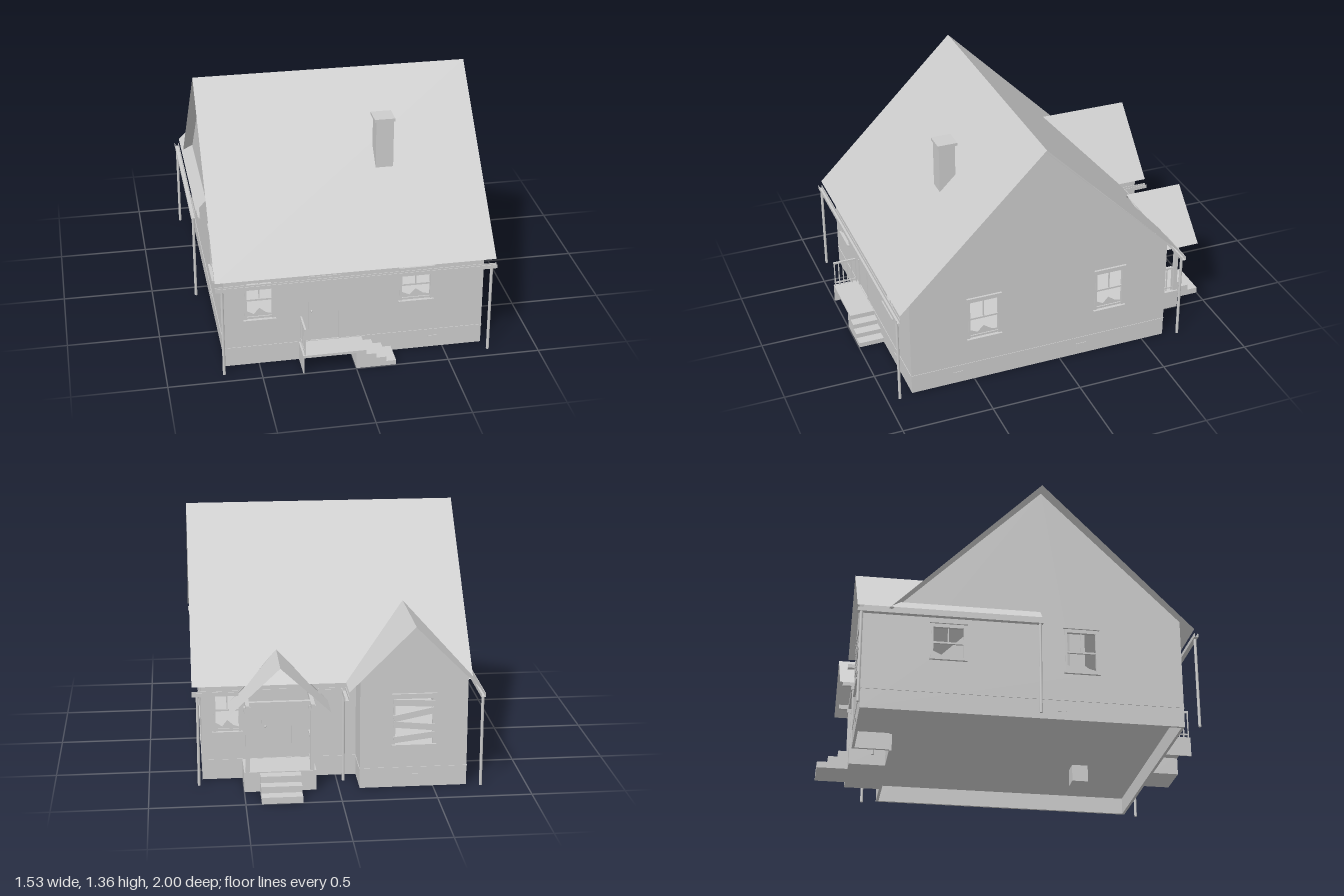
import * as THREE from 'three';

const plaster = new THREE.MeshStandardMaterial({ color: 0xcccccc, side: THREE.DoubleSide });
plaster.name = 'pale grey';

function add(parent, name, geo) {
  const m = new THREE.Mesh(geo, plaster);
  m.name = name;
  parent.add(m);
  return m;
}

// Box given by its extents on each axis
function box(parent, name, x0, x1, y0, y1, z0, z1) {
  const m = add(parent, name, new THREE.BoxGeometry(x1 - x0, y1 - y0, z1 - z0));
  m.position.set((x0 + x1) / 2, (y0 + y1) / 2, (z0 + z1) / 2);
  return m;
}

// Flat convex sheet through a few corners
function sheet(parent, name, corners) {
  const geo = new THREE.BufferGeometry();
  geo.setAttribute('position', new THREE.Float32BufferAttribute(corners.flat(), 3));
  const index = [];
  for (let i = 1; i < corners.length - 1; i++) index.push(0, i, i + 1);
  geo.setIndex(index);
  geo.computeVertexNormals();
  return add(parent, name, geo);
}

const shapeOf = pts => new THREE.Shape(pts.map(p => new THREE.Vector2(p[0], p[1])));

// Sash window around an opening; d is the outer wall plane
function windowUnit(g, w, d) {
  const [a, b, y0, y1, kind] = w, m = (y0 + y1) / 2;
  box(g, 'windowSill', a - 0.014, b + 0.014, y0 - 0.011, y0, d - 0.015, d + 0.014);
  box(g, 'windowHead', a - 0.014, b + 0.014, y1 + 0.012, y1 + 0.022, d - 0.005, d + 0.012);
  for (const x of [a, b]) box(g, 'windowJamb', x - 0.006, x + 0.006, y0, y1 + 0.012, d - 0.015, d + 0.003);
  box(g, 'windowTopRail', a, b, y1 - 0.008, y1 + 0.012, d - 0.015, d + 0.003);
  if (kind === 'boarded') {
    // Crooked planks nailed across
    [0.12, -0.1, 0.2, -0.05].forEach((tilt, i) => {
      const p = add(g, 'plank', new THREE.BoxGeometry(b - a + 0.01, 0.034, 0.008));
      p.position.set((a + b) / 2, y0 + 0.04 + (i * (y1 - y0 - 0.07)) / 3, d + 0.007);
      p.rotation.z = tilt;
    });
    return;
  }
  box(g, 'meetingRail', a, b, m - 0.005, m + 0.005, d - 0.015, d - 0.004);
  box(g, 'mullion', (a + b) / 2 - 0.003, (a + b) / 2 + 0.003, m, y1, d - 0.014, d - 0.006);
  box(g, 'lowerRail', a, b, y0, y0 + 0.012, d - 0.015, d - 0.004);
  // Shards left in the lower sash
  const c = (a + b) / 2, s = (b - a) / 2;
  const shard = shapeOf([[a, y0], [b, y0], [b, y0 + 0.02], [c + s * 0.5, y0 + 0.03],
    [c, y0 + 0.06], [c - s * 0.4, y0 + 0.025], [a, y0 + 0.05]]);
  add(g, 'brokenPane', new THREE.ShapeGeometry(shard)).position.z = d - 0.01;
}

// Panelled door in the wall plane
function door(g, [a, b, y0, y1], d) {
  box(g, 'door', a, b, y0, y1, d - 0.012, d - 0.004);
  for (const x of [a, b]) box(g, 'doorJamb', x - 0.004, x + 0.004, y0, y1, d - 0.01, d + 0.004);
  box(g, 'doorHead', a - 0.004, b + 0.004, y1, y1 + 0.006, d - 0.01, d + 0.004);
  const knob = add(g, 'doorKnob', new THREE.SphereGeometry(0.006, 10, 8));
  knob.position.set(a + 0.015, 0.29, d);
}

// One wall in its own plane, turned to its side of the house
function facade(house, name, angle, d, outline, windows, doors = [], vents = []) {
  const g = new THREE.Group();
  g.name = name;
  g.rotation.y = angle;
  const shape = shapeOf(outline);
  for (const [a, b, y0, y1] of [...windows, ...doors])
    shape.holes.push(new THREE.Path([[a, y0], [b, y0], [b, y1], [a, y1]].map(p => new THREE.Vector2(...p))));
  add(g, 'wall', new THREE.ExtrudeGeometry(shape, { depth: 0.015, bevelEnabled: false })).position.z = d - 0.015;
  const us = outline.map(p => p[0]);
  box(g, 'foundationLedge', Math.min(...us), Math.max(...us), 0.106, 0.111, d - 0.01, d + 0.003);
  windows.forEach(w => windowUnit(g, w, d));
  doors.forEach(w => door(g, w, d));
  for (const u of vents) box(g, 'foundationVent', u - 0.03, u + 0.03, 0.045, 0.07, d - 0.005, d + 0.003);
  house.add(g);
}

// Railing running along z
function railing(parent, x, z0, z1) {
  box(parent, 'handrail', x - 0.005, x + 0.005, 0.255, 0.266, z0, z1);
  box(parent, 'bottomRail', x - 0.004, x + 0.004, 0.125, 0.132, z0, z1);
  for (let i = 0; i <= 5; i++) {
    const z = z0 + 0.004 + ((z1 - z0 - 0.008) * i) / 5;
    box(parent, 'baluster', x - 0.003, x + 0.003, 0.108, 0.258, z - 0.003, z + 0.003);
  }
}

// Open gutter trough from two sides and a bottom
function gutter(parent, x0, x1, z0, z1) {
  const y0 = 0.5, y1 = 0.521, t = 0.003;
  box(parent, 'gutterBottom', x0, x1, y0, y0 + t, z0, z1);
  if (x1 - x0 > z1 - z0) {
    for (const z of [z0, z1 - t]) box(parent, 'gutterSide', x0, x1, y0, y1, z, z + t);
  } else {
    for (const x of [x0, x1 - t]) box(parent, 'gutterSide', x, x + t, y0, y1, z0, z1);
  }
}

export function createModel() {
  const house = new THREE.Group();
  house.name = 'house';
  const P = Math.PI;

  // Walls
  facade(house, 'frontWall', 0, 0.855, [[-0.68, 0], [0.715, 0], [0.715, 0.6], [-0.68, 0.6]],
    [[-0.565, -0.42, 0.275, 0.5], [0.265, 0.43, 0.306, 0.485]], [[-0.23, -0.065, 0.111, 0.494]], [0.45]);
  facade(house, 'leftWall', P / 2, 0.715,
    [[-0.855, 0], [0.63, 0], [0.63, 0.605], [-0.11, 1.33], [-0.855, 0.605]],
    [[-0.525, -0.355, 0.27, 0.505], [0.21, 0.37, 0.27, 0.505]], [], [-0.59, 0.13]);
  facade(house, 'rightWall', -P / 2, 0.68,
    [[-0.83, 0], [0.855, 0], [0.855, 0.605], [0.11, 1.33], [-0.63, 0.605], [-0.83, 0.6]],
    [[-0.47, -0.3, 0.3, 0.485], [0.235, 0.4, 0.27, 0.505]], [], [0.2]);
  facade(house, 'backWall', P, 0.63, [[-0.715, 0], [0.11, 0], [0.11, 0.6], [-0.715, 0.6]],
    [[-0.645, -0.51, 0.27, 0.505]], [[-0.39, -0.23, 0.111, 0.494]]);
  facade(house, 'wingBackWall', P, 0.83,
    [[0.11, 0], [0.68, 0], [0.68, 0.6], [0.395, 0.885], [0.11, 0.6]], [[0.29, 0.5, 0.24, 0.5, 'boarded']], [], [0.4]);
  facade(house, 'wingSideWall', P / 2, -0.11, [[0.63, 0], [0.83, 0], [0.83, 0.6], [0.63, 0.6]], []);

  // Floors above the open foundation
  box(house, 'mainFloor', -0.675, 0.71, 0.095, 0.105, -0.63, 0.85);
  box(house, 'wingFloor', -0.675, -0.115, 0.095, 0.105, -0.825, -0.63);

  // Main roof
  const [L, R, top, eave] = [-0.73, 0.763, 1.355, 0.545];
  sheet(house, 'mainRoofFront', [[L, eave, 0.92], [R, eave, 0.92], [R, top, 0.11], [L, top, 0.11]]);
  sheet(house, 'mainRoofBack', [[R, eave, -0.7], [L, eave, -0.7], [L, top, 0.11], [R, top, 0.11]]);

  // Wing roof with valleys into the main roof
  for (const s of [-1, 1]) {
    const e = -0.395 + s * 0.345;
    sheet(house, 'wingRoof', [[-0.395, 0.892, -0.353], [-0.395, 0.892, -0.865], [e, 0.547, -0.865], [e, 0.547, -0.698]]);
  }
  sheet(house, 'sideEaveStrip', [[-0.68, 0.607, -0.7], [-0.74, 0.547, -0.7], [-0.74, 0.547, 0.1], [-0.68, 0.607, 0.1]]);

  // Chimney
  box(house, 'chimneyStack', 0.19, 0.285, 0, 1.206, 0.435, 0.525);
  box(house, 'chimneyCap', 0.18, 0.29, 1.205, 1.221, 0.422, 0.532);

  // Back porch
  const porch = new THREE.Group();
  porch.name = 'backPorch';
  house.add(porch);
  box(porch, 'porchFloor', 0.12, 0.5, 0, 0.11, -0.83, -0.63);
  [[0.105, 0.885], [0.07, 0.94], [0.035, 1]].forEach(([h, z]) => box(porch, 'porchStep', 0.203, 0.417, 0, h, -z, -0.83));
  for (const s of [-1, 1]) {
    const x = 0.31 + s * 0.17, e = 0.31 + s * 0.262;
    sheet(porch, 'porchRoof', [[0.31, 0.7, -0.57], [0.31, 0.7, -0.9], [e, 0.455, -0.9], [e, 0.455, -0.7],
      [0.31 + s * 0.19, 0.523, -0.7]]);
    box(porch, 'porchColumn', x - 0.011, x + 0.011, 0.11, 0.47, -0.826, -0.804);
    box(porch, 'columnCapital', x - 0.017, x + 0.017, 0.445, 0.47, -0.832, -0.798);
    box(porch, 'porchBeam', x - 0.01, x + 0.01, 0.47, 0.495, -0.88, -0.63);
    railing(porch, x, -0.8, -0.635);
  }
  box(porch, 'porchCrossBeam', 0.13, 0.49, 0.47, 0.495, -0.826, -0.804);

  // Front landing and side steps
  box(house, 'landing', -0.285, 0, 0.095, 0.108, 0.855, 0.997);
  box(house, 'landingSupport', -0.285, -0.279, 0, 0.095, 0.855, 0.997);
  [[0.108, 0.053], [0.081, 0.107], [0.054, 0.161], [0.027, 0.215]].forEach(([h, x], i) =>
    box(house, 'frontStep', i ? x - 0.054 : 0, x, 0, h, 0.855, 0.997));
  railing(house, -0.273, 0.86, 0.993);

  // Gutters
  gutter(house, L, R, 0.918, 0.94);
  gutter(house, -0.03, 0.1, -0.725, -0.7);
  gutter(house, 0.52, R, -0.725, -0.7);
  gutter(house, -0.767, -0.742, -0.865, 0.1);
  gutter(house, -0.05, -0.025, -0.865, -0.7);

  // Downpipes
  for (const [x, z] of [[-0.696, 0.93], [0.735, 0.93], [0.735, -0.712], [-0.755, 0.085], [-0.755, -0.845], [-0.035, -0.712]]) {
    const pipe = add(house, 'downpipe', new THREE.CylinderGeometry(0.008, 0.008, 0.5, 10));
    pipe.position.set(x, 0.25, z);
  }
  return house;
}
